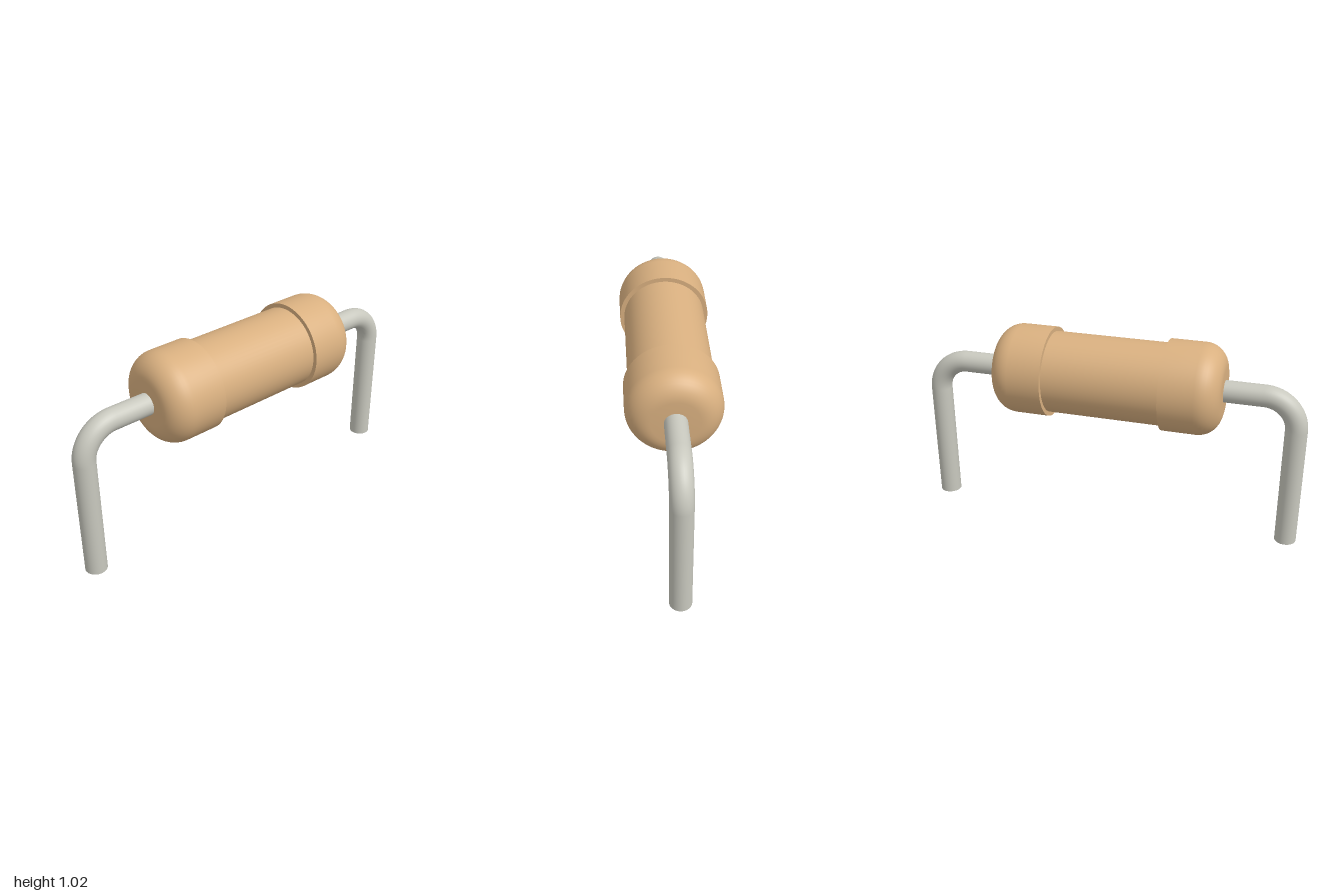
import * as THREE from 'three';
import { toCreasedNormals } from 'three/addons/utils/BufferGeometryUtils.js';

const AXIS_Y = 0.792;      // height of the body's axis
const CAP_R = 0.23, BODY_R = 0.208;
const CAP_IN = 0.297, CAP_OUT = 0.585, FILLET = 0.115;
const WIRE_R = 0.055, BEND_R = 0.165, LEG_X = 0.945;

const tan = new THREE.MeshStandardMaterial({ color: 0xd9b080 });
const metal = new THREE.MeshStandardMaterial({ color: 0xc8c8be });

function add(parent, name, geometry, material, x = 0, y = 0) {
  const mesh = new THREE.Mesh(geometry, material);
  mesh.name = name;
  mesh.position.set(x, y, 0);
  parent.add(mesh);
}

// Thicker body end: flat inner step, straight wall, rounded outer rim
function capGeometry() {
  const profile = [new THREE.Vector2(BODY_R - 0.02, CAP_IN), new THREE.Vector2(CAP_R, CAP_IN)];
  for (let i = 0; i <= 10; i++) {
    const a = (i / 10) * Math.PI / 2;
    profile.push(new THREE.Vector2(
      CAP_R - FILLET + FILLET * Math.cos(a),
      CAP_OUT - FILLET + FILLET * Math.sin(a)));
  }
  profile.push(new THREE.Vector2(WIRE_R * 0.6, CAP_OUT));
  return toCreasedNormals(new THREE.LatheGeometry(profile, 64).rotateZ(-Math.PI / 2), 0.6);
}

// One end of the component: cap, straight wire, bend and leg, on the +x side
function createEnd(name) {
  const end = new THREE.Group();
  end.name = name;
  const bendX = LEG_X - BEND_R, bendY = AXIS_Y - BEND_R;
  const wireStart = CAP_OUT - 0.03, wireLength = bendX - wireStart;

  add(end, 'endCap', capGeometry(), tan, 0, AXIS_Y);
  add(end, 'wireStub',
    new THREE.CylinderGeometry(WIRE_R, WIRE_R, wireLength, 32, 1, true).rotateZ(-Math.PI / 2),
    metal, wireStart + wireLength / 2, AXIS_Y);
  add(end, 'wireBend',
    new THREE.TorusGeometry(BEND_R, WIRE_R, 32, 20, Math.PI / 2), metal, bendX, bendY);
  add(end, 'wireLeg',
    new THREE.CylinderGeometry(WIRE_R, WIRE_R, bendY, 32), metal, LEG_X, bendY / 2);
  return end;
}

export function createModel() {
  const model = new THREE.Group();
  model.name = 'resistor';

  // Narrower middle of the body, running slightly into both caps
  add(model, 'body',
    new THREE.CylinderGeometry(BODY_R, BODY_R, CAP_IN * 2 + 0.02, 64, 1, true).rotateZ(-Math.PI / 2),
    tan, 0, AXIS_Y);

  // The two ends are the same part, turned half way round
  const right = createEnd('rightEnd');
  right.rotation.y = Math.PI;
  model.add(createEnd('leftEnd'), right);
  return model;
}
